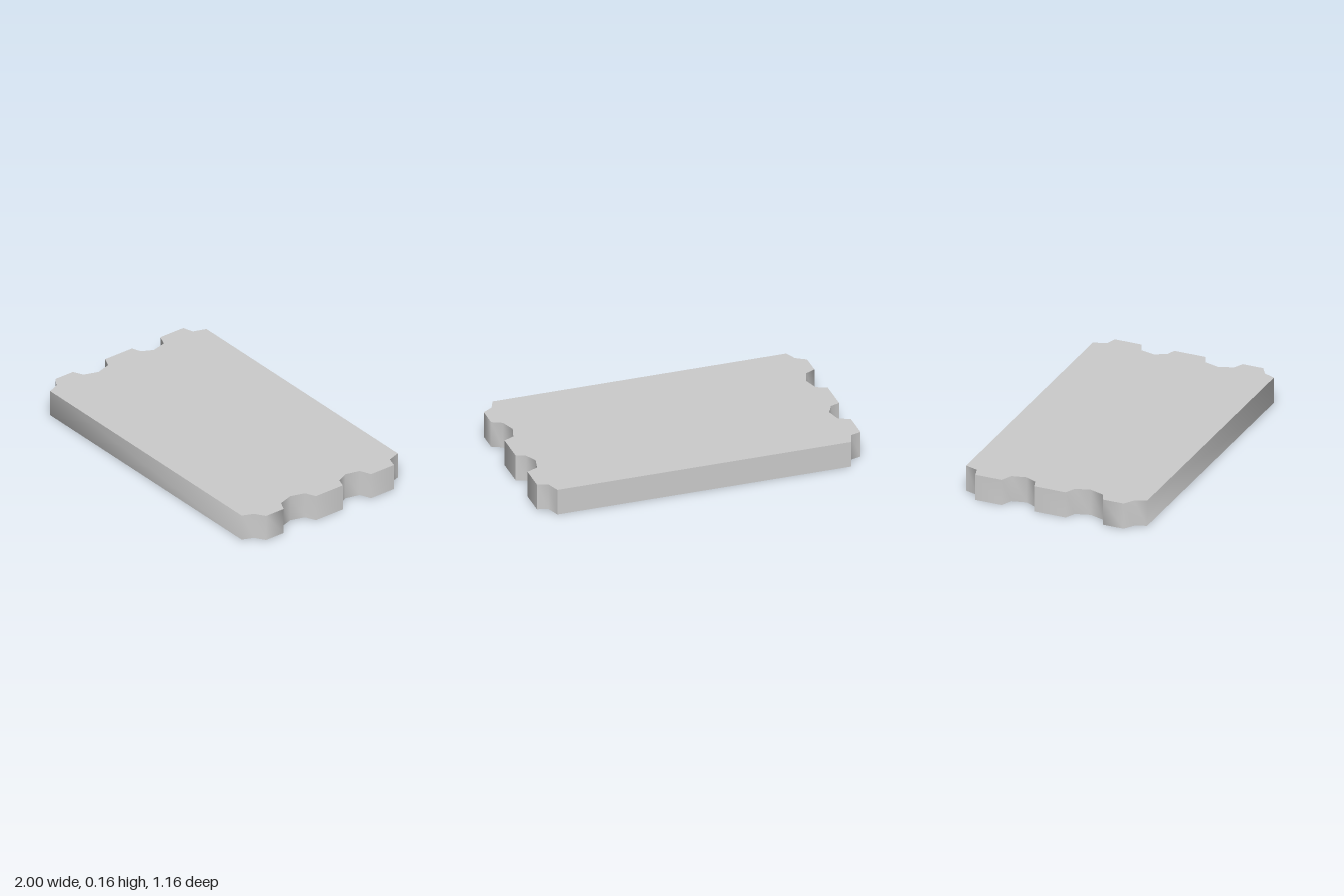
import * as THREE from 'three';
import { toCreasedNormals } from 'three/addons/utils/BufferGeometryUtils.js';

const HEIGHT = 0.163;
const CREASE = 1.2;

// Half outlines on the +x side as [x, z], running from back to front
const ticketEdge = [
  [0.908, -0.58], [0.935, -0.5], [1, -0.48], [1, -0.31], [0.93, -0.28], [0.908, -0.19],
  [0.943, -0.12], [1, -0.1], [1, 0.1], [0.935, 0.13], [0.908, 0.22], [0.938, 0.31],
  [1, 0.34], [1, 0.47], [0.938, 0.51], [0.908, 0.58],
];
const panelEdge = [
  [0.58, -0.51], [0.605, -0.375], [0.775, -0.325],
  [0.775, 0.315], [0.605, 0.365], [0.58, -0.01 + 0.51],
];
const triangle = [[-0.335, -0.31], [0.165, 0], [-0.335, 0.305]];
const bar = [[0.235, -0.31], [0.35, -0.31], [0.35, 0.305], [0.235, 0.305]];

// Close a half outline by mirroring it across x = 0
const mirror = (half) => [...half, ...half.map(([x, z]) => [-x, z]).reverse()];

// Plan points to a shape whose y axis becomes -z once laid flat
const toVectors = (points) => points.map(([x, z]) => new THREE.Vector2(x, -z));

function makeShape(points, holes = []) {
  const shape = new THREE.Shape(toVectors(points));
  shape.holes = holes.map((hole) => new THREE.Path(toVectors(hole)));
  return shape;
}

export function createModel() {
  const group = new THREE.Group();
  group.name = 'ticket';
  const material = new THREE.MeshStandardMaterial({ color: 0xcccccc });

  const add = (name, geometry) => {
    const mesh = new THREE.Mesh(geometry, material);
    mesh.name = name;
    group.add(mesh);
  };

  // Flush flat region of the top face
  const addTop = (name, points, holes) => {
    const geometry = new THREE.ShapeGeometry(makeShape(points, holes));
    add(name, geometry.rotateX(-Math.PI / 2).translate(0, HEIGHT, 0));
  };

  const ticket = mirror(ticketEdge);
  const panel = mirror(panelEdge);

  // Notched rim: the side walls of an extrusion, without its caps
  const solid = new THREE.ExtrudeGeometry(makeShape(ticket), { depth: HEIGHT, bevelEnabled: false });
  const { start, count } = solid.groups[1];
  const walls = new THREE.BufferGeometry();
  walls.setAttribute('position', new THREE.BufferAttribute(
    solid.attributes.position.array.slice(start * 3, (start + count) * 3), 3));
  walls.rotateX(-Math.PI / 2);
  add('rim', toCreasedNormals(walls, CREASE));

  // Underside
  const under = new THREE.ShapeGeometry(makeShape(ticket.map(([x, z]) => [x, -z])));
  add('underside', under.rotateX(Math.PI / 2));

  // Top face, divided into border, panel and inlaid symbols
  addTop('border', ticket, [panel]);
  addTop('panel', panel, [triangle, bar]);
  addTop('triangleInlay', triangle);
  addTop('barInlay', bar);

  return group;
}
